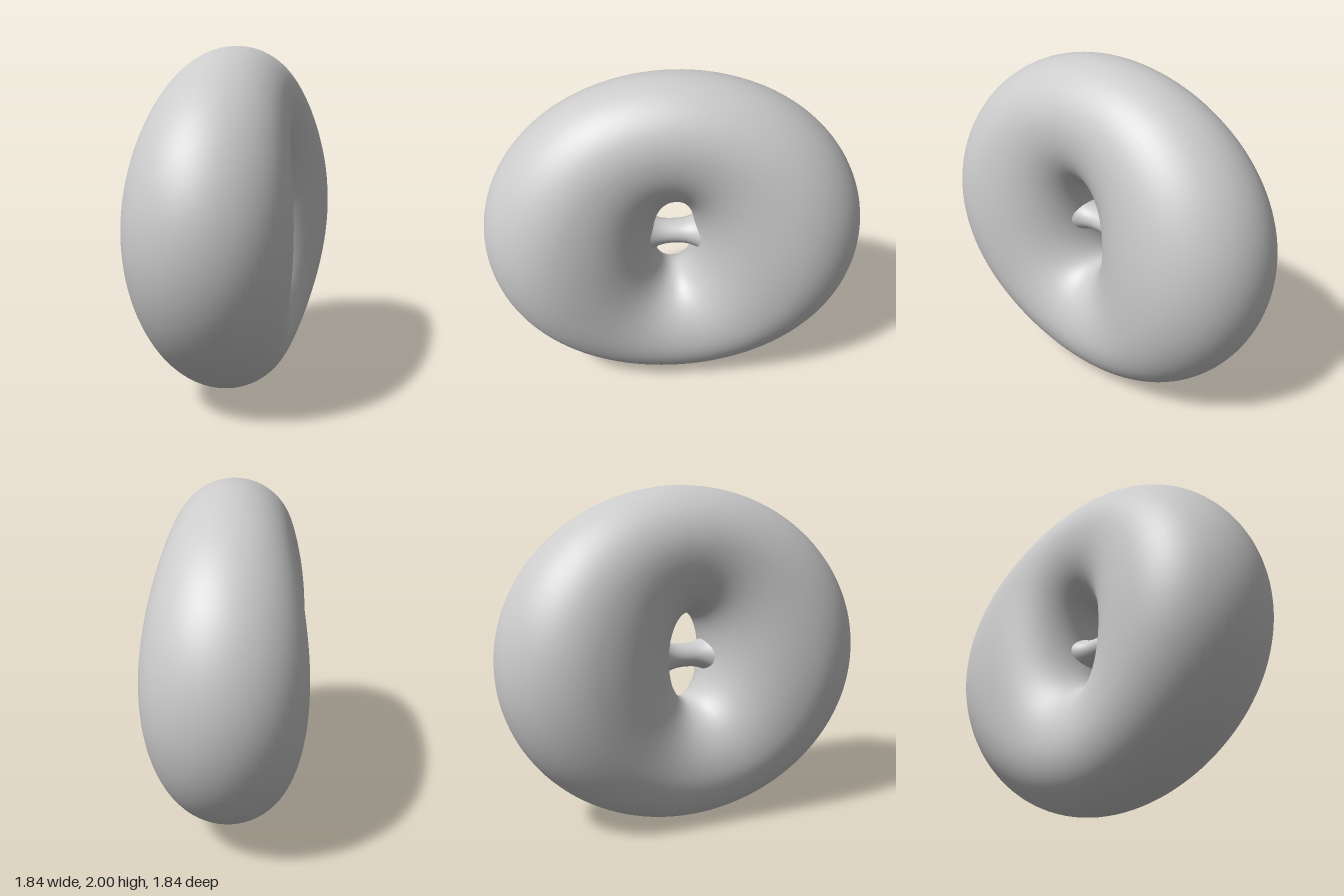
import * as THREE from 'three';
import { mergeVertices } from 'three/addons/utils/BufferGeometryUtils.js';

const material = new THREE.MeshStandardMaterial({ color: 0xcccccc });

// Plump oval ring: each cross-section runs from an inner ellipse to an outer
// one, and is thicker at the sides than at the top and bottom.
function ringGeometry() {
  const torus = new THREE.TorusGeometry(1, 0.4, 64, 128);
  const { position, uv } = torus.attributes;
  const inner = [0.125, 0.26], middle = [0.68, 0.66], outer = [1.12, 1.0];
  for (let i = 0; i < position.count; i++) {
    const around = uv.getX(i) * Math.PI * 2;
    const section = uv.getY(i) * Math.PI * 2;
    const c = Math.cos(around), s = Math.sin(around);
    const k = Math.cos(section);
    const edge = k > 0 ? outer : inner;
    const blend = Math.abs(k);
    const thickness = 0.34 + 0.1 * c * c;
    position.setXYZ(
      i,
      c * THREE.MathUtils.lerp(middle[0], edge[0], blend),
      s * THREE.MathUtils.lerp(middle[1], edge[1], blend),
      thickness * Math.sin(section)
    );
  }
  // weld the seams so the shading runs through
  torus.deleteAttribute('uv');
  torus.deleteAttribute('normal');
  const welded = mergeVertices(torus, 1e-4);
  welded.computeVertexNormals();
  return welded;
}

// Thin bar across the opening, flaring into the ring at both ends
function bridgeGeometry() {
  const half = 0.23, points = [];
  for (let i = 0; i <= 32; i++) {
    const t = (i / 32) * 2 - 1;
    points.push(new THREE.Vector2(0.07 + 0.11 * Math.abs(t) ** 2.5, t * half));
  }
  return new THREE.LatheGeometry(points, 48).rotateZ(Math.PI / 2).scale(1, 1, 1.2);
}

export function createModel() {
  const model = new THREE.Group();
  model.name = 'twoHoledRing';

  const body = new THREE.Group();
  body.name = 'body';
  body.position.y = 1;
  body.rotation.y = Math.PI / 4; // flat face turned halfway between front and side
  model.add(body);

  const ring = new THREE.Mesh(ringGeometry(), material);
  ring.name = 'ring';
  const bridge = new THREE.Mesh(bridgeGeometry(), material);
  bridge.name = 'bridge';
  body.add(ring, bridge);
  return model;
}
